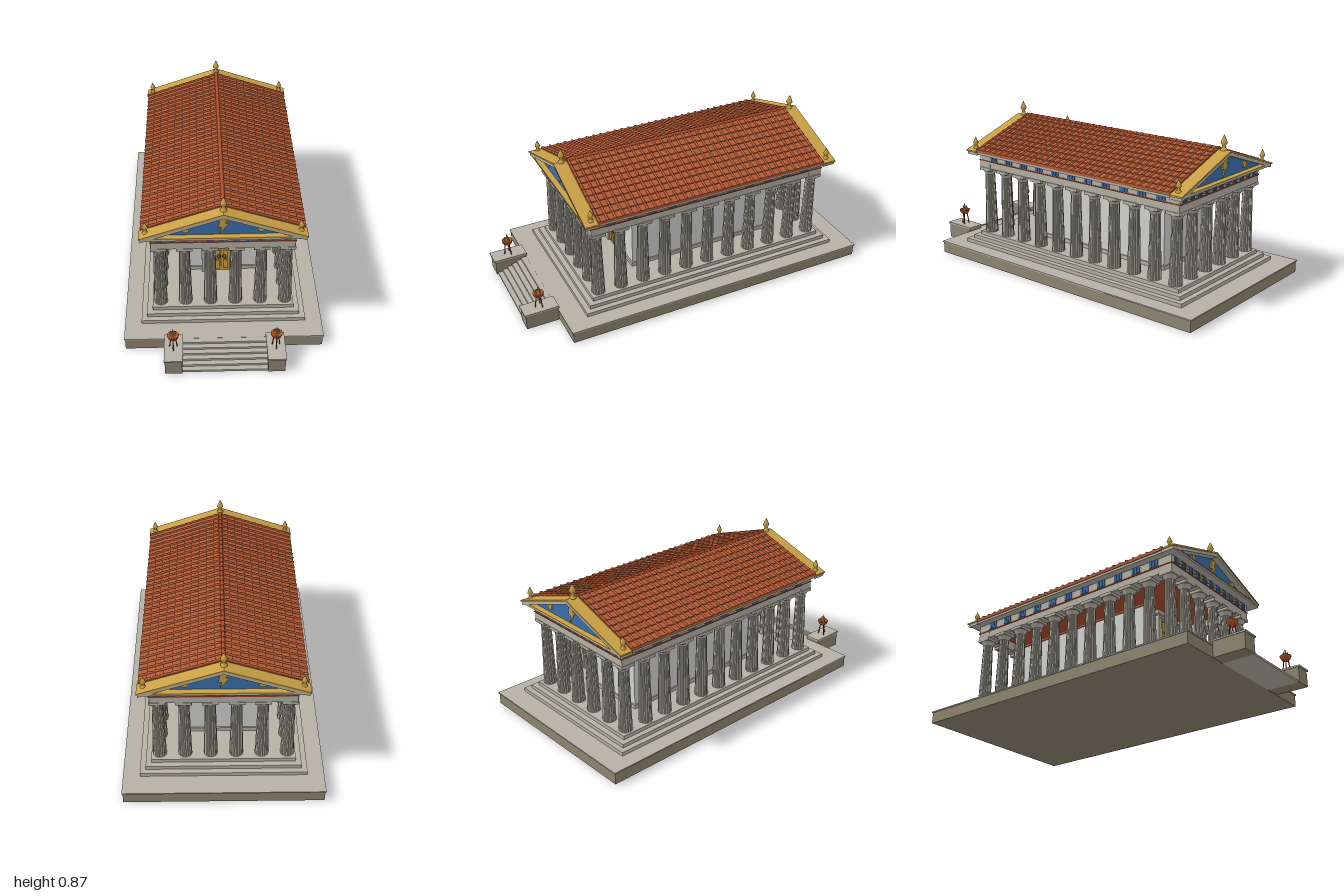
import * as THREE from 'three';
import { mergeGeometries } from 'three/addons/utils/BufferGeometryUtils.js';

const mat = (name, color) => new THREE.MeshStandardMaterial({ name, color });

export function createModel() {
  const stone = mat('stone', 0xb5b1a5), base = mat('dark stone', 0x8f8672), wall = mat('pale wall', 0xd2d4cf);
  const gold = mat('gold', 0xc9a045), blue = mat('blue', 0x3a70ab), tile = mat('roof tile', 0xb25a35);
  const red = mat('red trim', 0xb4502f), bronze = mat('bronze', 0x8a4427);

  const model = new THREE.Group();
  const temple = new THREE.Group();
  temple.name = 'temple';
  temple.position.z = -0.095;
  model.add(temple);

  // --- helpers ---
  const add = (parent, name, geo, material, x = 0, y = 0, z = 0) => {
    const m = new THREE.Mesh(geo, material);
    m.name = name;
    m.position.set(x, y, z);
    parent.add(m);
    return m;
  };
  // box given by its centre in x and z and its bottom and top in y
  const boxGeo = (w, y0, y1, d, x = 0, z = 0) =>
    new THREE.BoxGeometry(w, y1 - y0, d).translate(x, (y0 + y1) / 2, z);
  const box = (parent, name, material, ...a) => add(parent, name, boxGeo(...a), material);
  const lathe = (pts, n) => new THREE.LatheGeometry(pts.map(p => new THREE.Vector2(...p)), n);
  const extrude = (pts, depth) => new THREE.ExtrudeGeometry(
    new THREE.Shape(pts.map(p => new THREE.Vector2(...p))), { depth, bevelEnabled: false });
  const SLOPE = 0.342, ANGLE = Math.atan(SLOPE);
  const chevron = (top, w, t, depth) => extrude([
    [-w, top - SLOPE * w], [-w, top - SLOPE * w - t], [0, top - t],
    [w, top - SLOPE * w - t], [w, top - SLOPE * w], [0, top]], depth);

  // --- platform, stairs and pedestals ---
  box(model, 'platform', base, 1.06, 0, 0.064, 1.8, 0, -0.095);
  box(model, 'platformTop', stone, 1.07, 0.064, 0.071, 1.81, 0, -0.095);
  for (let i = 0; i < 6; i++) {
    const front = 0.985 - i * 0.029;
    box(model, 'stair', stone, 0.45, 0, 0.0117 * (i + 1), front - 0.8, 0, (front + 0.8) / 2);
  }
  for (const s of [-1, 1]) {
    box(model, 'pedestal', base, 0.09, 0, 0.087, 0.185, s * 0.27, 0.9);
    box(model, 'pedestalCap', stone, 0.098, 0.087, 0.096, 0.196, s * 0.27, 0.902);

    // brazier on three legs with flames
    const brazier = new THREE.Group();
    brazier.name = 'brazier';
    brazier.position.set(s * 0.27, 0.096, 0.9);
    model.add(brazier);
    for (let i = 0; i < 3; i++) {
      const a = i * Math.PI * 2 / 3 + Math.PI / 2;
      const path = new THREE.LineCurve3(new THREE.Vector3(Math.cos(a) * 0.023, 0, Math.sin(a) * 0.023),
        new THREE.Vector3(Math.cos(a) * 0.013, 0.072, Math.sin(a) * 0.013));
      add(brazier, 'brazierLeg', new THREE.TubeGeometry(path, 1, 0.003, 6), bronze);
      add(brazier, 'flame', new THREE.ConeGeometry(0.009, 0.035, 6), gold,
        Math.cos(a) * 0.012, 0.102, Math.sin(a) * 0.012);
    }
    add(brazier, 'bowl', lathe([[0, 0.06], [0.015, 0.063], [0.026, 0.074], [0.031, 0.088], [0.031, 0.093],
      [0.026, 0.093], [0, 0.086]], 14), red);
    add(brazier, 'tallFlame', new THREE.ConeGeometry(0.012, 0.05, 6), gold, 0, 0.111, 0);
  }

  // --- stepped floor ---
  [[0.89, 1.57], [0.83, 1.51], [0.77, 1.45]].forEach(([w, d], i) =>
    box(temple, 'floorStep', stone, w, 0.07 + i * 0.0217, 0.0917 + i * 0.0217, d));

  // --- fluted columns ---
  const shaft = new THREE.CylinderGeometry(0.028, 0.037, 0.37, 32, 1, true);
  const sp = shaft.attributes.position;
  for (let i = 0; i < sp.count; i++) {
    const k = (i % 33) % 2 ? 0.88 : 1;
    sp.setXYZ(i, sp.getX(i) * k, sp.getY(i) + 0.32, sp.getZ(i) * k);
  }
  const shaftGeo = shaft.toNonIndexed();
  shaftGeo.computeVertexNormals();
  const echinus = lathe([[0.027, 0.492], [0.03, 0.495], [0.029, 0.5], [0.039, 0.513], [0.04, 0.519]], 20);
  const abacus = boxGeo(0.084, 0.518, 0.535, 0.084);
  const column = (x, z) => {
    const g = new THREE.Group();
    g.name = 'column';
    g.position.set(x, 0, z);
    add(g, 'shaft', shaftGeo, stone);
    add(g, 'echinus', echinus, stone);
    add(g, 'abacus', abacus, stone);
    temple.add(g);
  };
  for (const s of [-1, 1]) {
    for (let i = 0; i < 6; i++) column(-0.34 + i * 0.136, s * 0.675);
    for (let i = 1; i < 10; i++) column(s * 0.34, -0.675 + i * 0.135);
  }

  // --- inner hall ---
  const hallZ = -0.0475, hallD = 0.915, front = 0.41;
  box(temple, 'hallWalls', wall, 0.42, 0.135, 0.485, hallD, 0, hallZ);
  box(temple, 'hallPlinth', stone, 0.436, 0.135, 0.157, hallD + 0.016, 0, hallZ);
  box(temple, 'hallBand', red, 0.43, 0.485, 0.492, hallD + 0.01, 0, hallZ);
  box(temple, 'hallTop', stone, 0.42, 0.492, 0.5, hallD, 0, hallZ);
  box(temple, 'goldStrip', gold, 0.17, 0.486, 0.494, 0.01, 0, front + 0.006);

  // --- doorway ---
  for (const s of [-1, 1]) {
    box(temple, 'doorJamb', stone, 0.03, 0.135, 0.455, 0.03, s * 0.097, front + 0.012);
    box(temple, 'doorLeaf', gold, 0.079, 0.135, 0.445, 0.014, s * 0.041, front + 0.007);
    for (let r = 0; r < 4; r++) for (const c of [0, 1])
      box(temple, 'doorPanel', gold, 0.024, 0.15 + r * 0.074, 0.212 + r * 0.074, 0.008,
        s * (0.024 + c * 0.035), front + 0.017);
    add(temple, 'doorRing', new THREE.TorusGeometry(0.01, 0.0025, 6, 16), bronze, s * 0.015, 0.243, front + 0.024);
  }
  box(temple, 'lintel', stone, 0.225, 0.445, 0.458, 0.034, 0, front + 0.014);
  box(temple, 'lintelCap', stone, 0.265, 0.458, 0.482, 0.045, 0, front + 0.018);

  // --- beams and frieze ---
  for (const s of [-1, 1]) {
    box(temple, 'endBeam', stone, 0.756, 0.533, 0.574, 0.08, 0, s * 0.675);
    box(temple, 'sideBeam', stone, 0.072, 0.533, 0.574, 1.28, s * 0.34, 0);
  }
  box(temple, 'redBand', red, 0.764, 0.574, 0.58, 1.438);
  box(temple, 'frieze', stone, 0.756, 0.58, 0.624, 1.43);
  const bars = [], rosettes = [];
  for (const s of [-1, 1]) {
    for (let i = 0; i < 11; i++) for (const k of [-1, 0, 1]) {
      bars.push(boxGeo(0.009, 0.583, 0.622, 0.006, (i - 5) * 0.067 + k * 0.0125, s * 0.716));
      bars.push(boxGeo(0.006, 0.583, 0.622, 0.016, s * 0.379, (i - 5) * 0.12 + k * 0.019));
    }
    for (let i = 0; i < 10; i++) rosettes.push(new THREE.CylinderGeometry(0.011, 0.011, 0.008, 12)
      .rotateX(Math.PI / 2).translate((i - 4.5) * 0.067, 0.603, s * 0.717));
  }
  add(temple, 'friezeBars', mergeGeometries(bars), blue);
  add(temple, 'friezeRosettes', mergeGeometries(rosettes), gold);
  box(temple, 'cornice', stone, 0.85, 0.623, 0.634, 1.52);
  box(temple, 'corniceEdge', gold, 0.86, 0.634, 0.64, 1.525);

  // --- roof body and gables ---
  add(temple, 'gableBody', extrude([[-0.39, 0.638], [0.39, 0.638], [0, 0.77]], 1.46), blue, 0, 0, -0.73);
  add(temple, 'roofBoards', chevron(0.782, 0.425, 0.016, 1.4), stone, 0, 0, -0.7);
  const bolt = [[-0.017, 0.747], [-0.028, 0.69], [-0.008, 0.69], [-0.02, 0.648],
    [0.029, 0.714], [0.008, 0.714], [0.028, 0.747]];
  const finial = lathe([[0.018, 0], [0.018, 0.008], [0.009, 0.013], [0.012, 0.02], [0.008, 0.025],
    [0.019, 0.04], [0.014, 0.055], [0, 0.085]], 10);
  for (const s of [-1, 1]) {
    const gable = new THREE.Group();
    gable.name = 'gable';
    gable.rotation.y = s > 0 ? 0 : Math.PI;
    temple.add(gable);
    add(gable, 'rakingCornice', chevron(0.782, 0.43, 0.019, 0.075), stone, 0, 0, 0.688);
    add(gable, 'rakingCover', chevron(0.791, 0.437, 0.009, 0.077), gold, 0, 0, 0.69);
    add(gable, 'boltRelief', extrude(bolt, 0.008), gold, 0, 0, 0.729);
    for (const x of [-0.195, 0.195])
      add(gable, 'gableDisc', new THREE.CylinderGeometry(0.018, 0.018, 0.009, 16).rotateX(Math.PI / 2),
        gold, x, 0.675, 0.733);
    add(gable, 'ridgeFinial', finial, gold, 0, 0.787, 0.722);
    for (const x of [-0.402, 0.402])
      add(gable, 'cornerFinial', finial, gold, x, 0.65, 0.722).scale.setScalar(0.82);
  }

  // --- tiles: overlapping courses with raised cover tiles ---
  const rows = 10, run = 0.043, lap = 0.005;
  const yAt = x => 0.793 - SLOPE * x;
  const right = [];
  for (let i = 0; i < rows; i++) {
    right.push([i * run, yAt(i * run)], [(i + 1) * run, yAt((i + 1) * run) + lap]);
  }
  const profile = [...right, [0.43, 0.634], [-0.43, 0.634], ...right.slice(1).reverse().map(([x, y]) => [-x, y])];
  add(temple, 'tileCourses', extrude(profile, 1.386), tile, 0, 0, -0.693);
  const covers = [], len = run / Math.cos(ANGLE);
  for (const s of [-1, 1]) for (let i = 0; i < rows; i++) for (let j = 0; j < 31; j++) {
    const x = (i + 0.5) * run;
    covers.push(new THREE.CylinderGeometry(0.006, 0.0085, len, 6)
      .rotateZ(s * (Math.PI / 2 - ANGLE)).translate(s * x, yAt(x) + 0.003, (j - 15) * 0.0455));
  }
  add(temple, 'coverTiles', mergeGeometries(covers), tile);
  for (let j = 0; j < 31; j++)
    add(temple, 'ridgeTile', new THREE.CylinderGeometry(0.009, 0.012, 0.046, 8).rotateX(Math.PI / 2),
      red, 0, 0.793, (j - 15) * 0.0448);

  return model;
}
